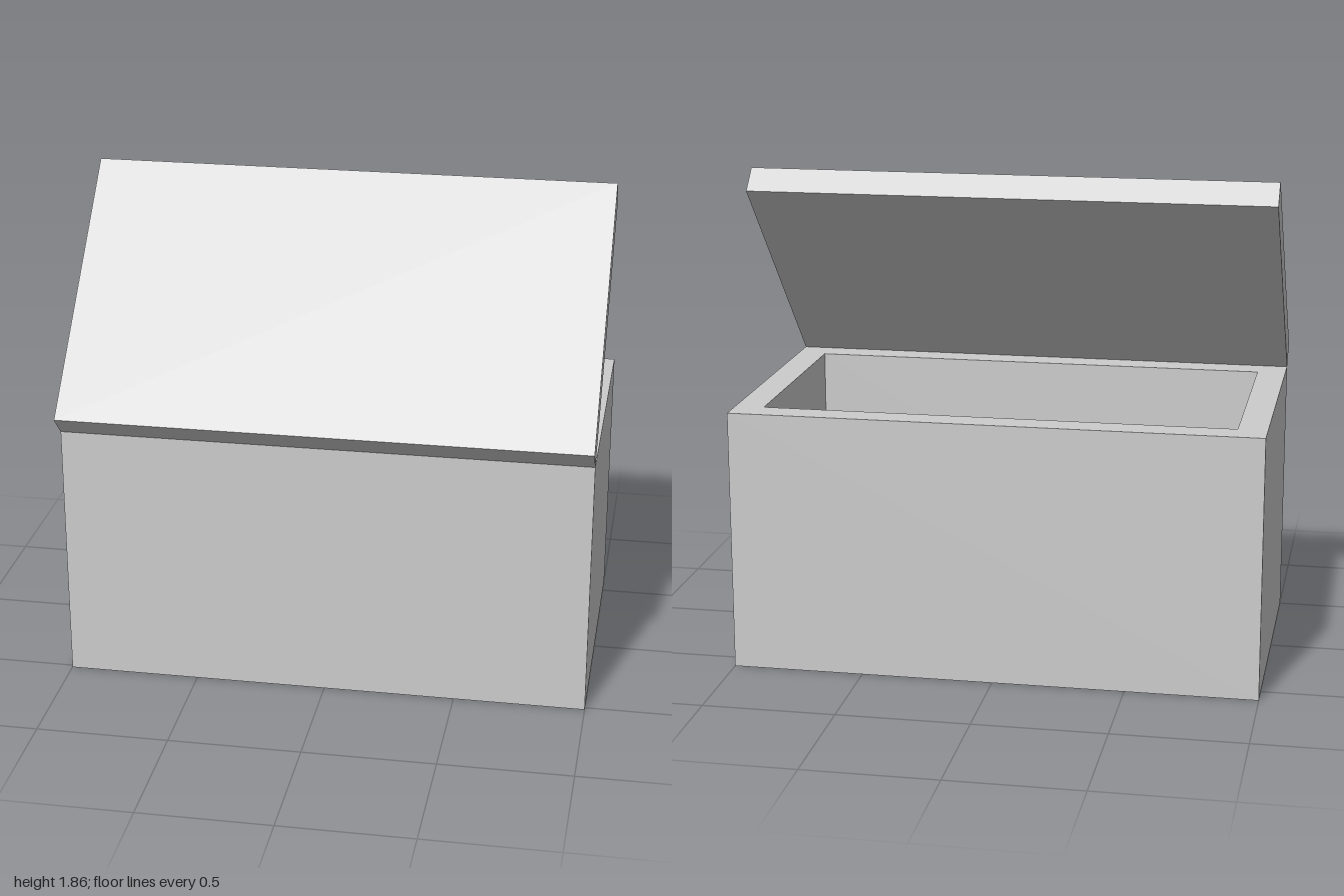
import * as THREE from 'three';

const WIDTH = 2, HEIGHT = 1, WALL = 0.11;
const FRONT = 0.515, BACK = -0.59;
const DEPTH = FRONT - BACK;

// Rectangle outline in x and z, inset from the outside of the chest
function outline(path, inset) {
  const x = WIDTH / 2 - inset, front = FRONT - inset, back = BACK + inset;
  path.moveTo(-x, -front);
  path.lineTo(x, -front);
  path.lineTo(x, -back);
  path.lineTo(-x, -back);
  path.closePath();
  return path;
}

export function createModel() {
  const group = new THREE.Group();
  group.name = 'openChest';

  const grey = new THREE.MeshStandardMaterial({ color: 0xcccccc });
  grey.name = 'light grey';

  // Four walls around an open cavity
  const frame = outline(new THREE.Shape(), 0);
  frame.holes.push(outline(new THREE.Path(), WALL));
  const wallGeometry = new THREE.ExtrudeGeometry(frame, { depth: HEIGHT, bevelEnabled: false });
  wallGeometry.rotateX(-Math.PI / 2);
  const walls = new THREE.Mesh(wallGeometry, grey);
  walls.name = 'walls';
  group.add(walls);

  // Floor fitted between the walls
  const floor = new THREE.Mesh(
    new THREE.BoxGeometry(WIDTH - 2 * WALL, WALL, DEPTH - 2 * WALL), grey);
  floor.name = 'floor';
  floor.position.set(0, WALL / 2, (FRONT + BACK) / 2);
  group.add(floor);

  // Lid swung open 45 degrees about the top front edge
  const lidGeometry = new THREE.BoxGeometry(WIDTH, WALL, DEPTH);
  lidGeometry.translate(0, WALL / 2, -DEPTH / 2);
  const lid = new THREE.Mesh(lidGeometry, grey);
  lid.name = 'lid';
  lid.position.set(0, HEIGHT, FRONT);
  lid.rotation.x = Math.PI / 4;
  group.add(lid);

  return group;
}
